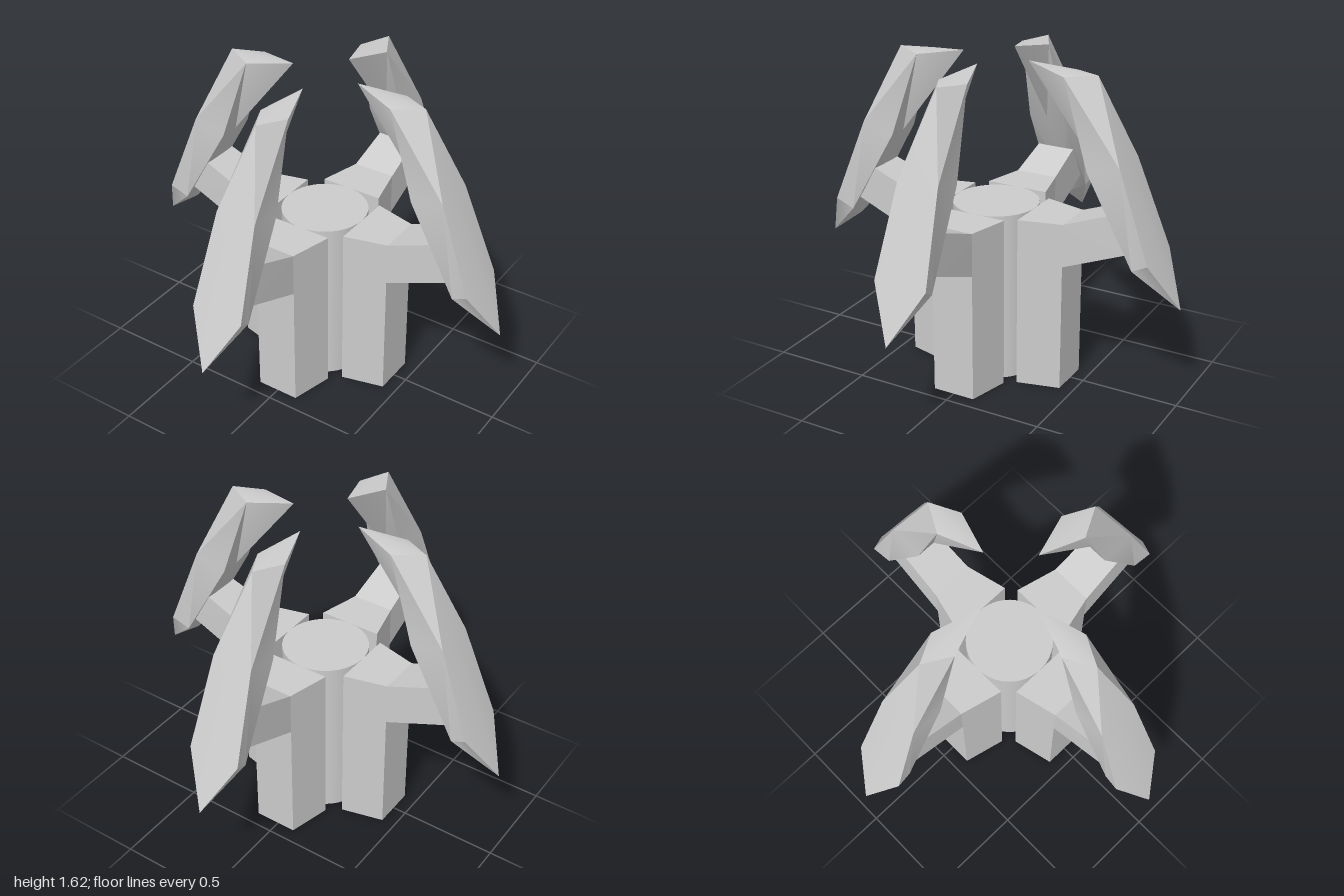
import * as THREE from 'three';
import { toCreasedNormals } from 'three/addons/utils/BufferGeometryUtils.js';

const material = new THREE.MeshStandardMaterial({ color: 0xcccccc });

// Skin a list of closed cross-sections (equal point counts) and cap both ends
function loft(sections) {
  const n = sections[0].length;
  const index = [];
  for (let s = 0; s < sections.length - 1; s++) {
    for (let j = 0; j < n; j++) {
      const a = s * n + j, b = s * n + (j + 1) % n;
      const c = a + n, d = b + n;
      // opposite diagonals on the two halves keep the skin symmetric
      if (j < n / 2) index.push(a, d, c, a, b, d);
      else index.push(a, b, c, b, d, c);
    }
  }
  const last = (sections.length - 1) * n;
  for (let j = 1; j < n - 1; j++) {
    index.push(0, j + 1, j);
    index.push(last, last + j, last + j + 1);
  }
  const geometry = new THREE.BufferGeometry();
  geometry.setAttribute('position', new THREE.Float32BufferAttribute(sections.flat(2), 3));
  geometry.setIndex(index);
  return toCreasedNormals(geometry, 0.5);
}

// Six-point blade section: outer centre, outer side, inner side, inner centre, mirrored
function bladeSection([ox, oy], [sx, sy, sw], [ix, iy, iw], [cx, cy]) {
  return [
    [ox, oy, 0], [sx, sy, sw], [ix, iy, iw],
    [cx, cy, 0], [ix, iy, -iw], [sx, sy, -sw],
  ];
}

// Rectangular section of the bracket between a lower and an upper point
function bracketSection([lx, ly], [ux, uy], w) {
  return [[ux, uy, w], [lx, ly, w], [lx, ly, -w], [ux, uy, -w]];
}

function mesh(name, geometry) {
  const m = new THREE.Mesh(geometry, material);
  m.name = name;
  return m;
}

export function createModel() {
  const model = new THREE.Group();
  model.name = 'clawStand';
  const height = 0.88;

  // Central round core
  const core = mesh('core', new THREE.CylinderGeometry(0.215, 0.215, height, 48));
  core.position.y = height / 2;
  model.add(core);

  // Tapered pillar, extruded upwards
  const outline = new THREE.Shape([
    new THREE.Vector2(0.215, -0.163), new THREE.Vector2(0.43, -0.11),
    new THREE.Vector2(0.43, 0.11), new THREE.Vector2(0.215, 0.163),
  ]);
  const pillar = new THREE.ExtrudeGeometry(outline, { depth: height, bevelEnabled: false });
  pillar.rotateX(-Math.PI / 2);

  // Bracket rising from the pillar into the blade
  const bracket = loft([
    bracketSection([0.78, 0.80], [0.69, 0.98], 0.1),
    bracketSection([0.43, 0.66], [0.43, height], 0.11),
  ].reverse());

  // Blade: kite-shaped top, flat back, pointed lower tip
  const tip = [1, 0.52, 0];
  const blade = loft([
    bladeSection([0.54, 1.597], [0.4, 1.588, 0.075], [0.4, 1.588, 0.075], [0.18, 1.62]),
    bladeSection([0.712, 1.21], [0.708, 1.205, 0.105], [0.54, 1.16, 0.1], [0.54, 1.16]),
    bladeSection([0.88, 0.805], [0.875, 0.77, 0.136], [0.79, 0.72, 0.115], [0.82, 0.655]),
    bladeSection(tip, tip, tip, tip),
  ]);

  // Four identical arms around the core
  ['left', 'back', 'right', 'front'].forEach((side, i) => {
    const arm = new THREE.Group();
    arm.name = side + 'Arm';
    arm.add(mesh('pillar', pillar), mesh('bracket', bracket), mesh('blade', blade));
    arm.rotation.y = i * Math.PI / 2;
    if (side === 'back') arm.position.x = 0.015;
    model.add(arm);
  });
  return model;
}
